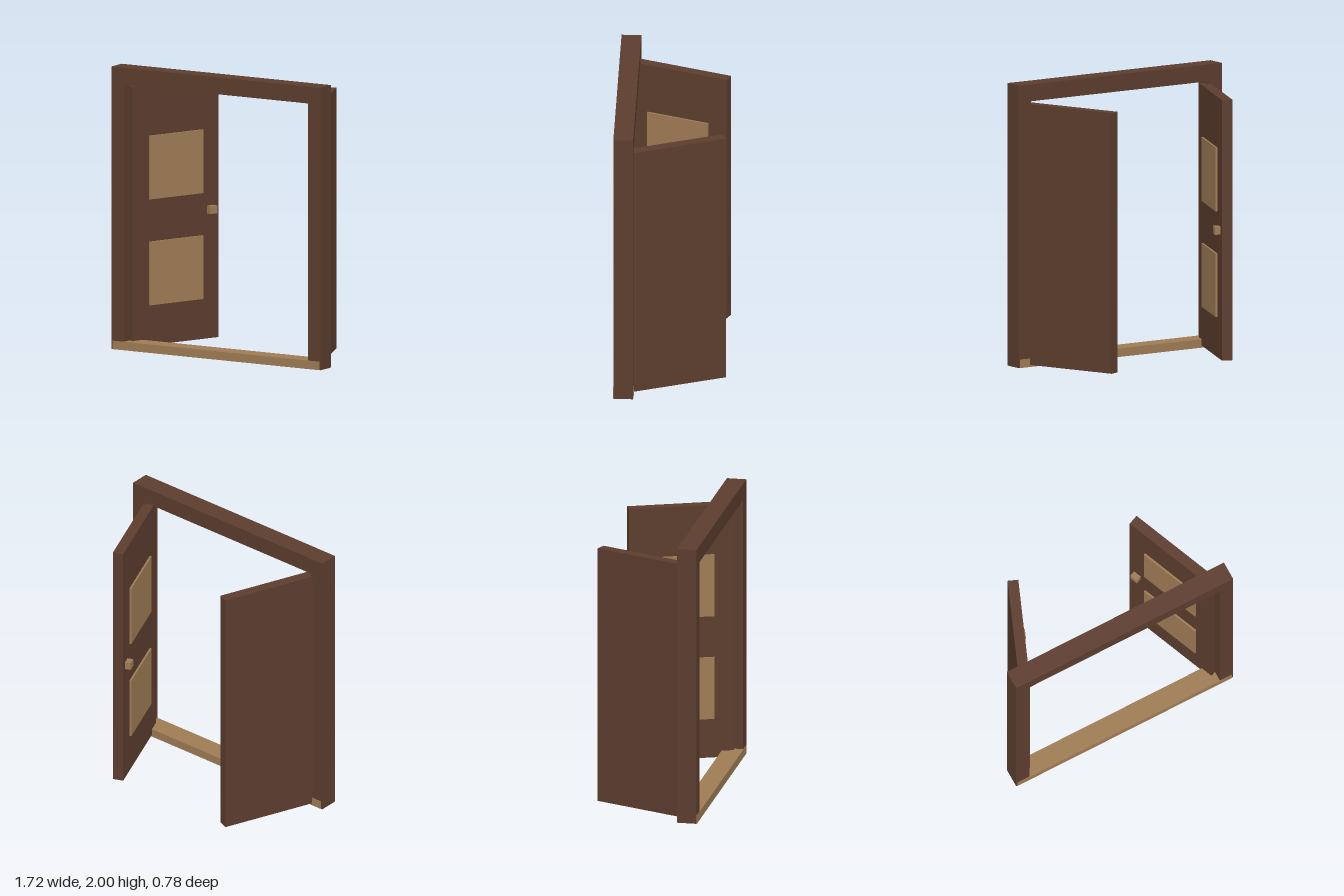
import * as THREE from 'three';

export function createModel() {
  const model = new THREE.Group();
  model.name = 'doubleDoor';

  const darkWood = new THREE.MeshStandardMaterial({ color: 0x5c3d2e });
  darkWood.name = 'dark wood';
  const lightWood = new THREE.MeshStandardMaterial({ color: 0x9e7b54 });
  lightWood.name = 'light wood';

  const box = (parent, name, material, [w, h, d], [x, y, z]) => {
    const mesh = new THREE.Mesh(new THREE.BoxGeometry(w, h, d), material);
    mesh.name = name;
    mesh.position.set(x, y, z);
    parent.add(mesh);
  };

  // Frame: lintel, two posts and a threshold very slightly deeper than the posts
  const frameZ = 0.318;
  const frameDepth = 0.138;
  box(model, 'lintel', darkWood, [1.72, 0.12, frameDepth], [0, 1.94, frameZ]);
  box(model, 'threshold', lightWood, [1.7, 0.06, frameDepth + 0.006], [0, 0.03, frameZ]);

  const doorWidth = 0.744;
  const doorThickness = 0.075;
  const face = doorThickness / 2;

  for (const side of [-1, 1]) {
    const label = side > 0 ? 'left' : 'right';
    box(model, label + 'Post', darkWood, [0.105, 1.88, frameDepth], [side * 0.8075, 0.94, frameZ]);

    // Door leaf, hinged at the post and swung open to the back
    const door = new THREE.Group();
    door.name = label + 'Door';
    door.position.set(side * 0.755, 0, 0.314);
    door.rotation.y = -side * THREE.MathUtils.degToRad(68);
    model.add(door);

    const along = (u) => -side * u; // distance from the hinge
    box(door, 'leaf', darkWood, [doorWidth, 1.845, doorThickness], [along(doorWidth / 2), 0.9375, 0]);

    // Raised panels and handle on the inner face
    for (const [name, y] of [['lowerPanel', 0.525], ['upperPanel', 1.275]]) {
      box(door, name, lightWood, [0.464, 0.45, 0.028], [along(doorWidth / 2), y, face]);
    }
    box(door, 'handle', lightWood, [0.06, 0.055, 0.042], [along(0.674), 0.928, face + 0.021]);
  }

  return model;
}
